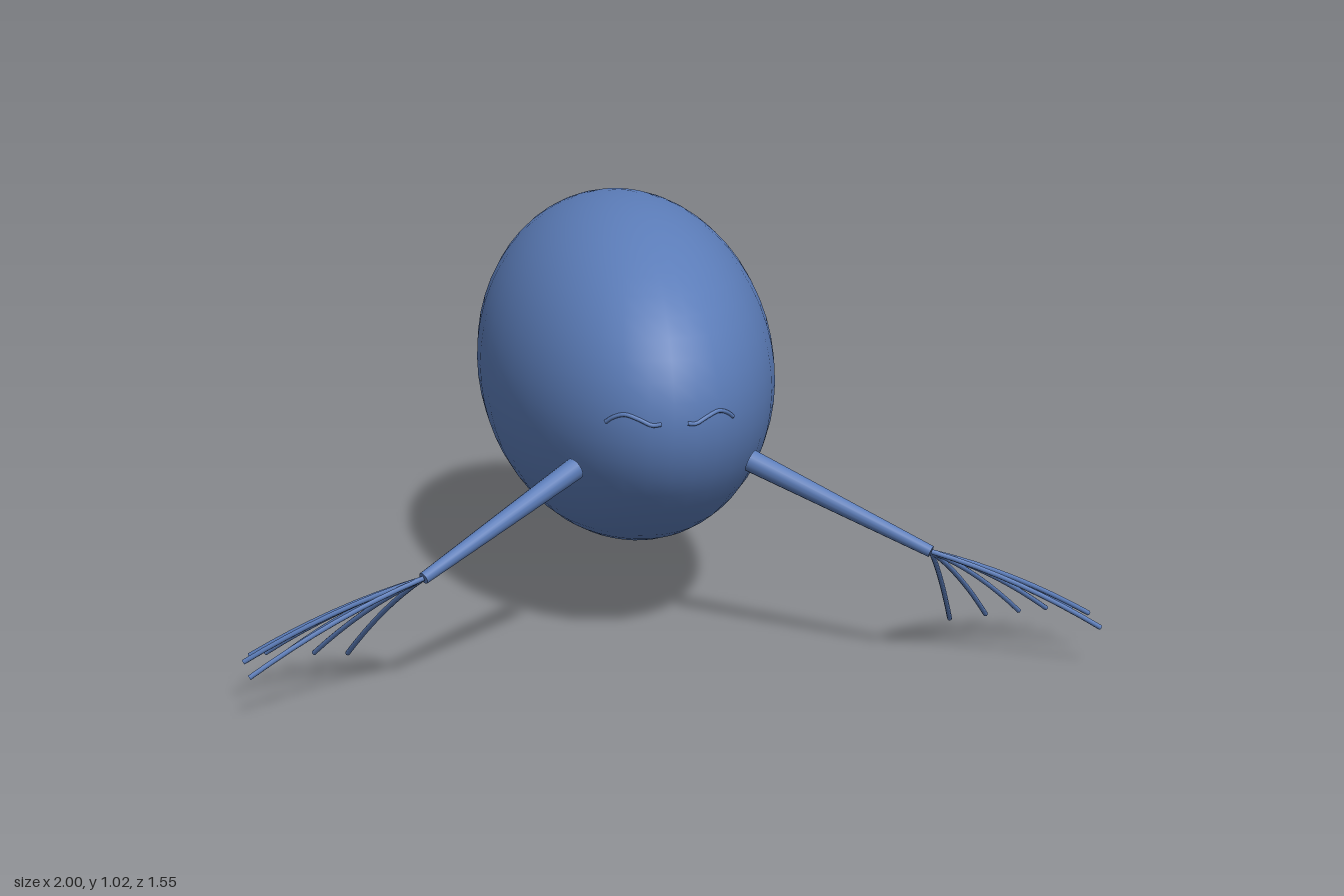
import * as THREE from 'three';

const BODY_CENTER = new THREE.Vector3(0, 0.595, -0.085);
const BODY_RADII = new THREE.Vector3(0.365, 0.432, 0.692);

// Point on the front of the body for a given x and y
function onBody(x, y) {
  const dx = x / BODY_RADII.x, dy = (y - BODY_CENTER.y) / BODY_RADII.y;
  const z = BODY_CENTER.z + BODY_RADII.z * Math.sqrt(1 - dx * dx - dy * dy);
  return new THREE.Vector3(x, y, z - 0.001);
}

// Tapered cylinder between two points
function limb(from, to, r0, r1, sides, material) {
  const dir = to.clone().sub(from);
  const mesh = new THREE.Mesh(new THREE.CylinderGeometry(r1, r0, dir.length(), sides), material);
  mesh.position.copy(from).add(to).multiplyScalar(0.5);
  mesh.quaternion.setFromUnitVectors(new THREE.Vector3(0, 1, 0), dir.normalize());
  return mesh;
}

export function createModel() {
  const model = new THREE.Group();
  model.name = 'creature';
  const blue = new THREE.MeshStandardMaterial({ color: 0x5b7cb8 });
  blue.name = 'blue skin';

  // Egg-shaped body, long in z
  const body = new THREE.Mesh(new THREE.SphereGeometry(1, 40, 28), blue);
  body.name = 'body';
  body.scale.copy(BODY_RADII);
  body.position.copy(BODY_CENTER);
  model.add(body);

  // Finger tips, from the foremost to the rearmost
  const tips = [
    [0.985, 0.105, 0.77], [0.995, 0.105, 0.663], [0.98, 0.092, 0.583], [0.942, 0.073, 0.515],
    [0.893, 0.05, 0.457], [0.826, 0.028, 0.405], [0.745, 0.01, 0.37],
  ];

  for (const [side, label] of [[1, 'left'], [-1, 'right']]) {
    const at = (x, y, z) => new THREE.Vector3(side * x, y, z);

    // Arm tapering toward the wrist
    const wrist = at(0.59, 0.29, 0.698);
    const arm = limb(at(0.21, 0.467, 0.47), wrist, 0.027, 0.014, 16, blue);
    arm.name = label + 'Arm';
    model.add(arm);

    // Fan of thin, slightly arched fingers
    const hand = new THREE.Group();
    hand.name = label + 'Hand';
    tips.forEach((t, i) => {
      const tip = at(...t);
      const middle = wrist.clone().lerp(tip, 0.5);
      middle.y += 0.03;
      const curve = new THREE.QuadraticBezierCurve3(wrist, middle, tip);
      const finger = new THREE.Mesh(new THREE.TubeGeometry(curve, 8, 0.006, 8), blue);
      finger.name = 'finger' + (i + 1);
      hand.add(finger);
    });
    model.add(hand);

    // Wavy crease on the face
    const path = [[0.03, 0.598], [0.05, 0.595], [0.08, 0.608], [0.11, 0.617], [0.135, 0.608], [0.15, 0.595]]
      .map(([x, y]) => onBody(side * x, y));
    const crease = new THREE.Mesh(
      new THREE.TubeGeometry(new THREE.CatmullRomCurve3(path), 16, 0.005, 8), blue);
    crease.name = label + 'FaceCrease';
    model.add(crease);
  }
  return model;
}
